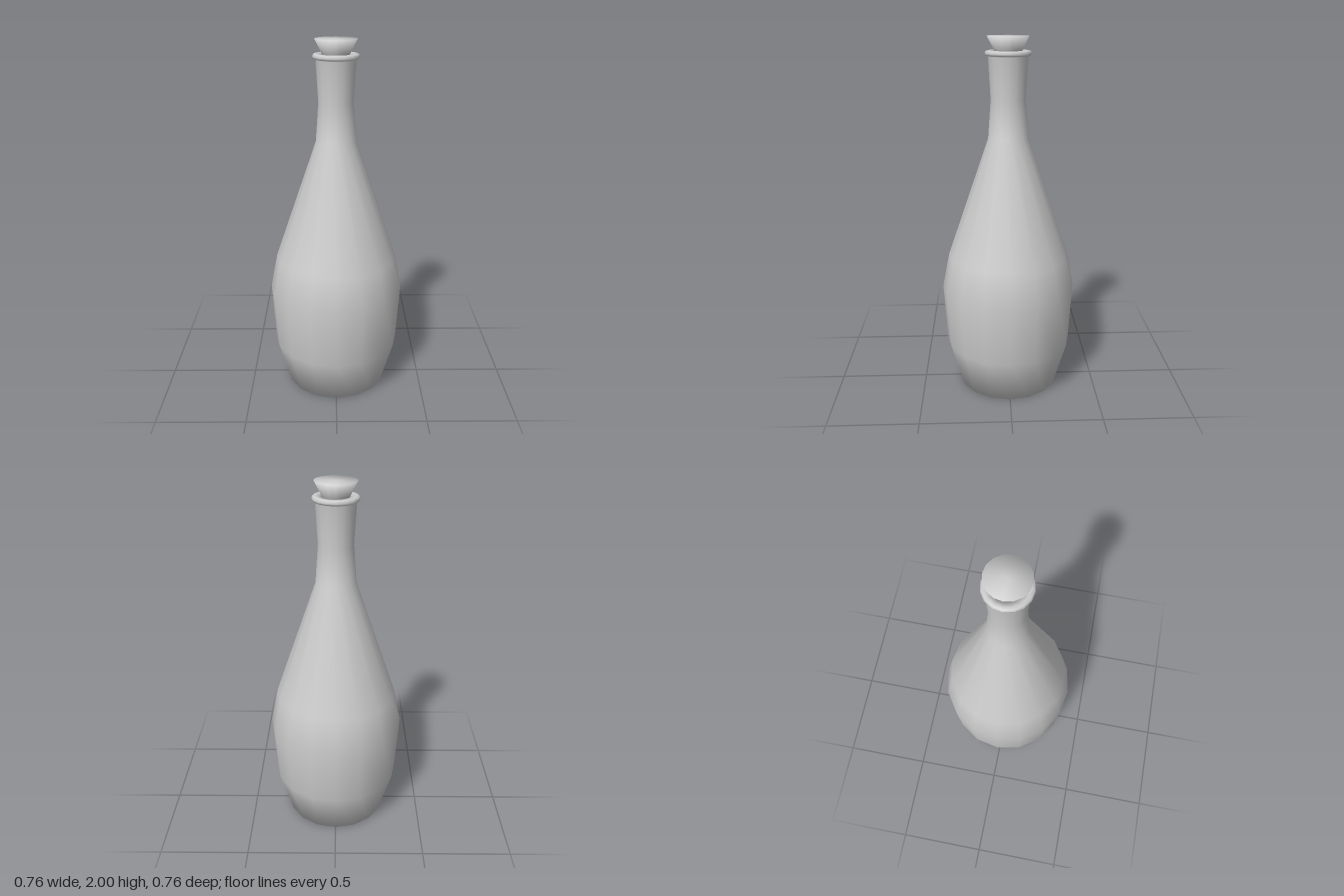
import * as THREE from 'three';

const SIDES = 16;

// Smooth turned part from a [radius, height] profile, listed bottom to top
function turned(name, profile, material) {
  const points = profile.map(([r, y]) => new THREE.Vector2(r, y));
  const mesh = new THREE.Mesh(new THREE.LatheGeometry(points, SIDES), material);
  mesh.name = name;
  return mesh;
}

export function createModel() {
  const group = new THREE.Group();
  group.name = 'bottle';
  const material = new THREE.MeshStandardMaterial({ color: 0xcccccc });

  // Base, belly, shoulder, neck, and the rolled lip turning into the mouth
  group.add(turned('bottleBody', [
    [0, 0], [0.285, 0], [0.36, 0.26], [0.38, 0.59], [0.34, 0.79],
    [0.11, 1.46], [0.095, 1.67], [0.108, 1.895],
    [0.121, 1.9], [0.125, 1.911], [0.119, 1.923], [0.105, 1.926],
    [0.078, 1.922], [0.066, 1.88],
  ], material));

  // Flared stopper with a flat top
  group.add(turned('stopper', [
    [0, 1.87], [0.055, 1.87], [0.075, 1.925], [0.113, 2], [0, 2],
  ], material));

  return group;
}
